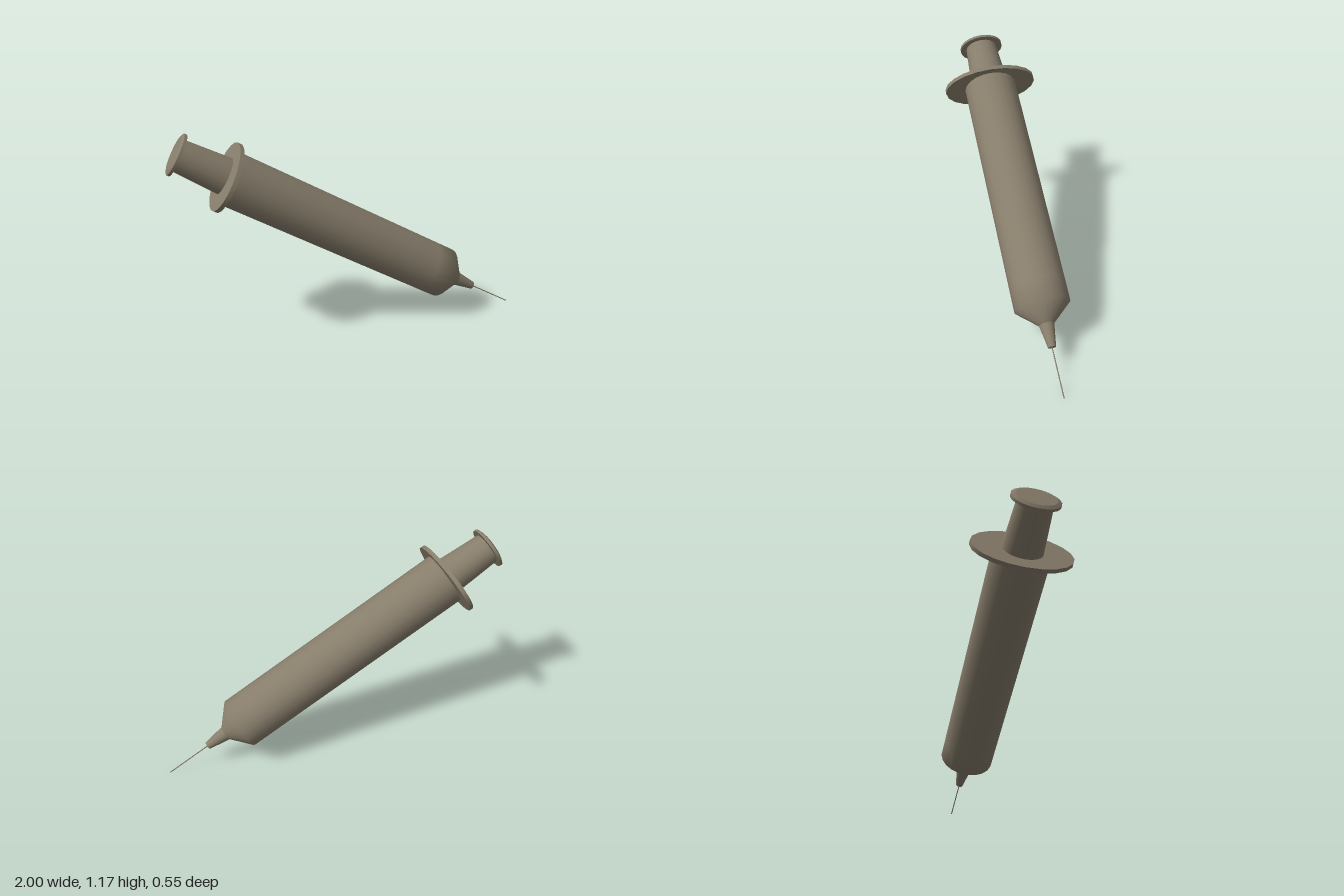
import * as THREE from 'three';

export function createModel() {
  const group = new THREE.Group();
  const taupe = new THREE.MeshStandardMaterial({ color: 0x877d6b });
  taupe.name = 'taupe';

  // All parts share one tilted axis: local y runs from needle tip to plunger
  const body = new THREE.Group();
  body.name = 'syringe';
  const axis = new THREE.Vector3(-0.8747, 0.4838, 0.0316).normalize();
  const wide = new THREE.Vector3(1, 0, 0).cross(axis).normalize();
  const narrow = new THREE.Vector3().crossVectors(axis, wide);
  const tilt = new THREE.Matrix4().makeBasis(narrow, axis, wide);
  body.quaternion.setFromRotationMatrix(tilt);
  body.position.set(1, 0.002, -0.065);
  group.add(body);

  // Lathe each run of [radius, height]; runs are smooth inside, sharp between.
  // flatness squashes the section across its narrow axis
  function turned(name, runs, flatness = 1, sides = 20) {
    const part = new THREE.Group();
    part.name = name;
    runs.forEach((run) => {
      const pts = run.map(([r, h]) => new THREE.Vector2(r, h));
      const geo = new THREE.LatheGeometry(pts, sides);
      geo.scale(flatness, 1, 1);
      const mesh = new THREE.Mesh(geo, taupe);
      mesh.name = name + 'Surface';
      part.add(mesh);
    });
    body.add(part);
  }

  // Hair-thin needle
  turned('needle', [[[0, 0], [0.003, 0.006], [0.003, 0.28]]], 1, 8);

  // Tapered nozzle with a flat end
  turned('nozzle', [
    [[0, 0.272], [0.022, 0.272]],
    [[0.022, 0.272], [0.042, 0.4]],
  ]);

  // Barrel with a conical shoulder
  turned('barrel', [
    [[0, 0.397], [0.042, 0.397]],
    [[0.042, 0.397], [0.155, 0.498], [0.155, 0.62], [0.155, 1.92]],
  ], 0.96);

  // Oval finger flange
  turned('fingerFlange', [
    [[0, 1.913], [0.273, 1.913]],
    [[0.273, 1.913], [0.273, 1.936]],
    [[0.273, 1.936], [0, 1.936]],
  ], 0.68);

  // Plunger rod, narrowing towards the thumb rest
  turned('plungerRod', [[[0.111, 1.93], [0.094, 2.21]]], 0.93);

  // Thumb rest with a bevelled rim
  turned('thumbRest', [
    [[0, 2.202], [0.13, 2.202]],
    [[0.13, 2.202], [0.13, 2.217]],
    [[0.13, 2.217], [0.108, 2.226]],
    [[0.108, 2.226], [0, 2.226]],
  ], 0.9);

  return group;
}
